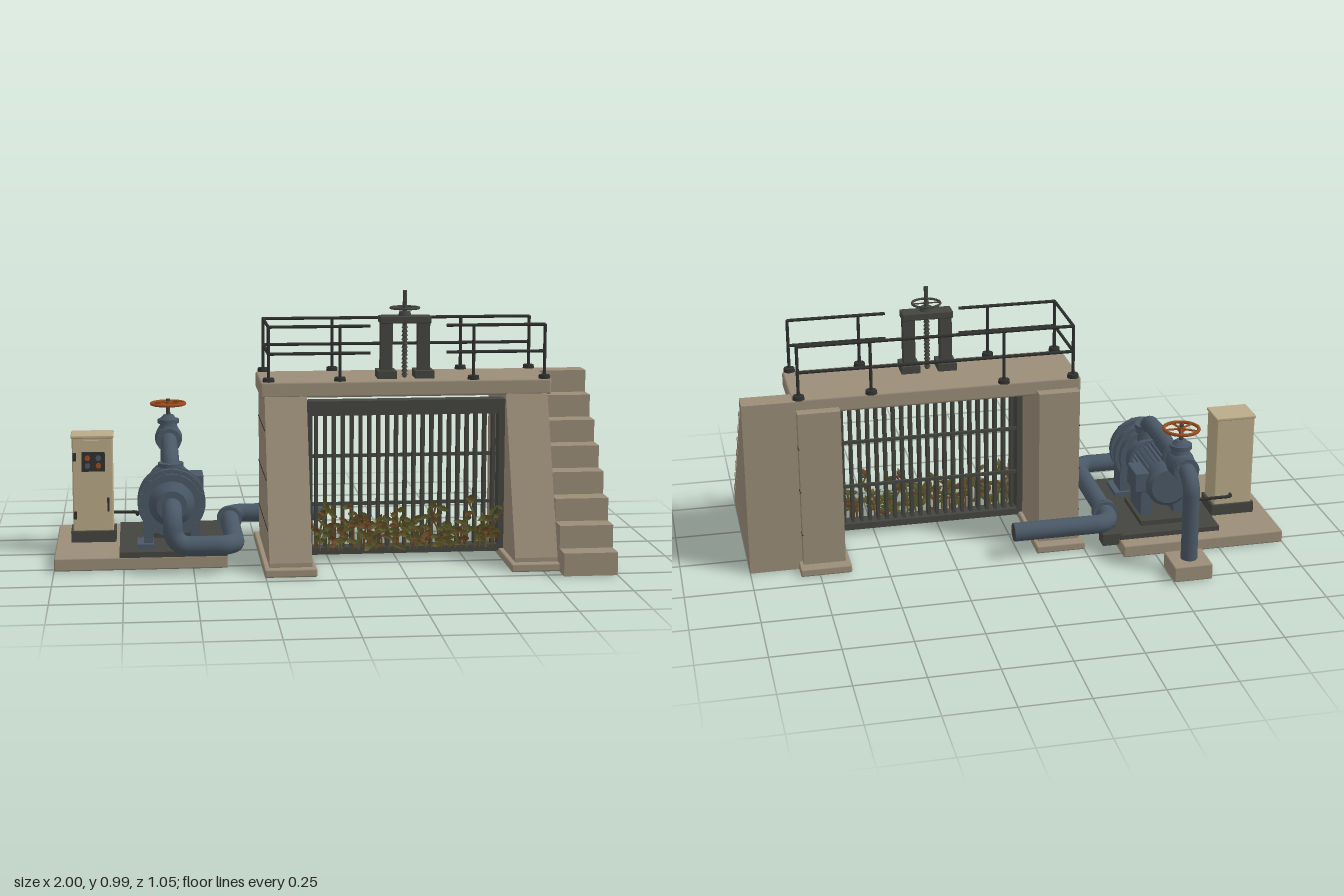
import * as THREE from 'three';
import { mergeGeometries } from 'three/addons/utils/BufferGeometryUtils.js';
import { RoundedBoxGeometry } from 'three/addons/geometries/RoundedBoxGeometry.js';

const mat = (name, color, side = THREE.FrontSide) => {
  const m = new THREE.MeshStandardMaterial({ color, side });
  m.name = name;
  return m;
};

export function createModel() {
  const root = new THREE.Group();
  const concrete = mat('concrete', 0x9a8d78), blue = mat('blue grey paint', 0x4a5866);
  const steel = mat('dark steel', 0x44453f), iron = mat('black iron', 0x2f312f);
  const cream = mat('cream paint', 0xb9aa88), rust = mat('orange wheel', 0x9a4c20);
  const olive = mat('olive weed', 0x5f5d2c, THREE.DoubleSide), brown = mat('brown weed', 0x6a4726, THREE.DoubleSide);

  const add = (name, geo, m, parent = root) => {
    const mesh = new THREE.Mesh(geo, m);
    mesh.name = name;
    parent.add(mesh);
    return mesh;
  };
  const box = (name, m, x0, x1, y0, y1, z0, z1, r = 0) => {
    const s = [x1 - x0, y1 - y0, z1 - z0];
    const g = r ? new RoundedBoxGeometry(...s, 2, r) : new THREE.BoxGeometry(...s);
    return add(name, g.translate((x0 + x1) / 2, (y0 + y1) / 2, (z0 + z1) / 2), m);
  };
  // Cylinder centred at (x, y, z); rTop faces the positive end of the axis
  const cyl = (name, m, axis, rTop, rBot, len, x, y, z, n = 28) => {
    const g = new THREE.CylinderGeometry(rTop, rBot, len, n);
    if (axis === 'z') g.rotateX(Math.PI / 2);
    if (axis === 'x') g.rotateZ(-Math.PI / 2);
    return add(name, g.translate(x, y, z), m);
  };
  // Extrude a (z, y) profile between two x positions
  const slab = (name, m, pts, x0, x1) => {
    const g = new THREE.ExtrudeGeometry(new THREE.Shape(pts.map(p => new THREE.Vector2(...p))), { depth: x1 - x0, bevelEnabled: false });
    return add(name, g.rotateY(-Math.PI / 2).translate(x1, 0, 0), m);
  };
  // Pipe through corner points with rounded elbows
  const pipe = (name, m, pts, radius, bend, seg = 160) => {
    const p = pts.map(v => new THREE.Vector3(...v)), path = new THREE.CurvePath();
    let from = p[0];
    for (let i = 1; i < p.length - 1; i++) {
      const a = p[i].clone().add(p[i - 1].clone().sub(p[i]).setLength(bend));
      const b = p[i].clone().add(p[i + 1].clone().sub(p[i]).setLength(bend));
      path.add(new THREE.LineCurve3(from, a));
      // cubic handles approximate a circular quarter turn
      path.add(new THREE.CubicBezierCurve3(a, a.clone().lerp(p[i], 0.552), b.clone().lerp(p[i], 0.552), b));
      from = b;
    }
    path.add(new THREE.LineCurve3(from, p[p.length - 1]));
    return add(name, new THREE.TubeGeometry(path, seg, radius, 18), m);
  };
  const handWheel = (name, m, r, t, x, y, z, spokes) => {
    const g = new THREE.Group();
    g.name = name;
    g.position.set(x, y, z);
    add('rim', new THREE.TorusGeometry(r, t, 8, 36).rotateX(Math.PI / 2), m, g);
    add('hub', new THREE.CylinderGeometry(t * 2.2, t * 2.2, t * 2.4, 16), m, g);
    for (let i = 0; i < spokes; i++) {
      add('spoke', new THREE.CylinderGeometry(t * 0.6, t * 0.6, r, 8).rotateZ(Math.PI / 2).translate(r / 2, 0, 0).rotateY(i * 2 * Math.PI / spokes), m, g);
    }
    root.add(g);
  };

  // Piers with sloping fronts, footings and pour joints
  const profile = [[-0.145, 0], [0.42, 0], [0.42, 0.045], [0.2, 0.61], [-0.115, 0.625], [-0.145, 0.625]];
  for (const [x0, x1, out] of [[-0.235, -0.082, -0.235], [0.65, 0.805, 0.805]]) {
    slab('pier', concrete, profile, x0, x1);
    box('pierFooting', concrete, x0 - 0.018, x1 + 0.016, 0, 0.03, -0.187, 0.45, 0.006);
    for (const y of [0.15, 0.32, 0.49]) {
      box('pourJoint', iron, out - 0.002, out + 0.002, y - 0.002, y + 0.002, -0.146, 0.4 - (y - 0.03) * 0.39);
    }
  }
  box('deck', concrete, -0.25, 0.82, 0.605, 0.665, -0.1, 0.2, 0.009);

  // Stairs: one stepped profile
  const steps = [[-0.115, 0]];
  for (let i = 0; i < 8; i++) {
    const z = 0.525 - i * 0.0795;
    steps.push([z, i * 0.0828], [z, (i + 1) * 0.0828]);
  }
  steps.push([-0.115, 0.6624]);
  slab('stairs', concrete, steps, 0.806, 1);

  // Trash screen
  box('screenHead', steel, -0.082, 0.65, 0.55, 0.59, 0.13, 0.19);
  box('screenLip', steel, -0.07, 0.64, 0.535, 0.552, 0.14, 0.18);
  box('screenSill', steel, -0.082, 0.65, 0.02, 0.045, 0.13, 0.19);
  for (const x of [-0.082, 0.628]) box('screenSide', steel, x, x + 0.022, 0.02, 0.59, 0.13, 0.19);
  for (let i = 0; i < 21; i++) {
    const x = -0.045 + i * 0.0328;
    box('screenBar', steel, x - 0.006, x + 0.006, 0.04, 0.54, 0.145, 0.18);
  }
  for (const y of [0.2, 0.38]) box('screenTie', steel, -0.07, 0.64, y - 0.006, y + 0.006, 0.135, 0.145);

  // Weeds caught on the screen
  let seed = 11;
  const rnd = (a, b) => {
    seed = (seed * 16807) % 2147483647;
    return a + (b - a) * seed / 2147483647;
  };
  const leaf = (len, w) => {
    const g = new THREE.PlaneGeometry(1, 1, 2, 4), p = g.attributes.position;
    for (let i = 0; i < p.count; i++) {
      const t = p.getY(i) + 0.5, s = p.getX(i);
      p.setXYZ(i, s * w * Math.sin(Math.PI * Math.min(1, t * 0.92 + 0.08)), t * len * (1 - 0.25 * t), t * t * len * 0.45 + Math.abs(s) * w * 0.4);
    }
    g.computeVertexNormals();
    return g;
  };
  const weeds = [[], []];
  for (let i = 0; i < 34; i++) {
    const x = -0.04 + i * 0.0197 + rnd(-0.012, 0.012), h = rnd(0.06, 0.19), lean = rnd(-0.05, 0.05);
    const curve = new THREE.QuadraticBezierCurve3(new THREE.Vector3(x, 0.035, 0.188),
      new THREE.Vector3(x - lean * 0.5, 0.035 + h * 0.6, 0.2), new THREE.Vector3(x + lean, 0.035 + h, 0.195));
    weeds[i % 3 ? 0 : 1].push(new THREE.TubeGeometry(curve, 8, 0.004, 5));
    for (let k = 0; k < 6; k++) {
      const at = curve.getPoint(rnd(0.1, 1));
      const g = leaf(rnd(0.03, 0.06), rnd(0.014, 0.024));
      g.rotateX(rnd(-0.5, 0.2)).rotateZ(rnd(-2.1, 2.1)).translate(at.x, at.y, at.z);
      weeds[rnd(0, 1) < 0.72 ? 0 : 1].push(g);
    }
  }
  add('weedsOlive', mergeGeometries(weeds[0]), olive);
  add('weedsBrown', mergeGeometries(weeds[1]), brown);

  // Deck railing, with a gap in front of the hoist and open at the stairs
  for (const z of [-0.095, 0.193]) {
    for (const x of [-0.22, 0.04, 0.53, 0.793]) {
      cyl('railPost', iron, 'y', 0.006, 0.006, 0.2, x, 0.765, z, 10);
      cyl('postFoot', iron, 'y', 0.02, 0.022, 0.014, x, 0.672, z, 16);
    }
    const runs = z < 0 ? [[-0.22, 0.793]] : [[-0.22, 0.15], [0.43, 0.793]];
    for (const y of [0.766, 0.864]) {
      for (const [a, b] of runs) cyl('rail', iron, 'x', 0.006, 0.006, b - a, (a + b) / 2, y, z, 10);
    }
  }
  for (const y of [0.766, 0.864]) cyl('endRail', iron, 'z', 0.006, 0.006, 0.288, -0.22, y, 0.049, 10);

  // Gate hoist
  for (const x of [0.218, 0.356]) {
    box('hoistFoot', steel, x - 0.035, x + 0.035, 0.665, 0.693, 0.067, 0.16);
    box('hoistPost', steel, x - 0.022, x + 0.022, 0.69, 0.87, 0.092, 0.135);
  }
  box('hoistBeam', steel, 0.192, 0.382, 0.866, 0.893, 0.08, 0.147, 0.004);
  cyl('hoistCollar', steel, 'y', 0.02, 0.025, 0.016, 0.287, 0.9, 0.113);
  cyl('hoistScrew', steel, 'y', 0.008, 0.008, 0.32, 0.287, 0.825, 0.113, 14);
  for (let i = 0; i < 13; i++) cyl('screwThread', steel, 'y', 0.009, 0.012, 0.007, 0.287, 0.676 + i * 0.0145, 0.113, 12);
  handWheel('hoistWheel', steel, 0.052, 0.0045, 0.287, 0.921, 0.113, 4);

  // Pump pad, baseplate and pipe block
  box('pumpPad', concrete, -1, -0.375, 0, 0.048, -0.29, 0.282, 0.006);
  box('baseplate', steel, -0.765, -0.377, 0.046, 0.066, -0.235, 0.285);
  box('pipeBlock', concrete, -0.645, -0.5, 0, 0.06, -0.525, -0.388, 0.005);

  // Motor with cooling fins
  const px = -0.575, py = 0.23;
  cyl('motorBody', blue, 'z', 0.07, 0.07, 0.27, px, py, -0.02);
  cyl('fanCowl', blue, 'z', 0.083, 0.083, 0.05, px, py, -0.155);
  cyl('fanCowlEnd', blue, 'z', 0.083, 0.068, 0.014, px, py, -0.187);
  cyl('motorFlange', blue, 'z', 0.085, 0.085, 0.03, px, py, 0.07);
  for (let i = 0; i < 28; i++) {
    const g = new THREE.BoxGeometry(0.014, 0.005, 0.18).translate(0.075, 0, 0).rotateZ(i * Math.PI / 14).translate(px, py, -0.04);
    add('motorFin', g, blue);
  }
  box('terminalBox', blue, px + 0.07, px + 0.125, 0.2, 0.28, -0.16, -0.05, 0.005);
  for (const s of [-1, 1]) {
    box('motorFoot', blue, px + s * 0.065 - 0.022, px + s * 0.065 + 0.022, 0.066, 0.19, -0.12, 0.02);
    box('pumpLeg', blue, px + s * 0.085 - 0.017, px + s * 0.085 + 0.017, 0.066, 0.2, 0.12, 0.21);
    box('pumpFoot', blue, px + s * 0.095 - 0.03, px + s * 0.095 + 0.03, 0.066, 0.082, 0.11, 0.23);
  }
  box('motorPlinth', steel, px - 0.1, px + 0.1, 0.064, 0.085, -0.17, 0.06);

  // Pump casing with bolt ring
  cyl('pumpCasing', blue, 'z', 0.108, 0.108, 0.13, px, py, 0.165, 40);
  cyl('rearCasingFlange', blue, 'z', 0.123, 0.123, 0.026, px, py, 0.14, 40);
  cyl('frontCasingFlange', blue, 'z', 0.123, 0.123, 0.026, px, py, 0.2, 40);
  cyl('backCover', blue, 'z', 0.1, 0.075, 0.03, px, py, 0.1);
  cyl('frontCover', blue, 'z', 0.05, 0.085, 0.03, px, py, 0.243);
  cyl('inletFlange', blue, 'z', 0.055, 0.055, 0.018, px, py, 0.265);
  for (let i = 0; i < 12; i++) {
    const a = (i + 0.5) * Math.PI / 6;
    cyl('casingBolt', blue, 'z', 0.008, 0.008, 0.014, px + 0.112 * Math.cos(a), py + 0.112 * Math.sin(a), 0.218, 6);
  }

  // Lower pipe round to the intake side
  pipe('lowerPipe', blue, [[px, 0.225, 0.24], [px, 0.225, 0.362], [px, 0.103, 0.362], [-0.352, 0.103, 0.362], [-0.352, 0.103, -0.193], [0.025, 0.103, -0.193]], 0.035, 0.06, 220);
  cyl('lowerPipeEnd', steel, 'x', 0.034, 0.034, 0.004, 0.024, 0.103, -0.193);
  for (const z of [-0.1, -0.082]) cyl('lowerPipeFlange', blue, 'z', 0.047, 0.047, 0.012, -0.352, 0.103, z);
  box('pipeSaddle', steel, -0.39, -0.312, 0.025, 0.07, -0.225, -0.165);

  // Upper pipe, over the motor and down to the block
  const vy = 0.381;
  pipe('upperPipe', blue, [[px, 0.26, 0.12], [px, vy, 0.12], [px, vy, -0.455], [px, 0.05, -0.455]], 0.031, 0.065);
  cyl('outletNeck', blue, 'y', 0.036, 0.05, 0.06, px, 0.33, 0.12);
  cyl('outletFlange', blue, 'y', 0.047, 0.047, 0.014, px, 0.355, 0.12);

  // Gate valve
  cyl('valveBody', blue, 'z', 0.043, 0.043, 0.12, px, vy, -0.317);
  add('valveBelly', new THREE.SphereGeometry(0.053, 28, 18).translate(px, vy, -0.312), blue);
  for (const z of [-0.244, -0.26, -0.373, -0.389]) cyl('valveFlange', blue, 'z', 0.047, 0.047, 0.012, px, vy, z);
  for (let i = 0; i < 8; i++) {
    const a = (i + 0.5) * Math.PI / 4;
    for (const z of [-0.252, -0.381]) cyl('valveBolt', blue, 'z', 0.006, 0.006, 0.042, px + 0.039 * Math.cos(a), vy + 0.039 * Math.sin(a), z, 6);
  }
  cyl('bonnetNeck', blue, 'y', 0.03, 0.04, 0.04, px, 0.425, -0.312);
  cyl('bonnetFlange', blue, 'y', 0.041, 0.041, 0.016, px, 0.447, -0.312);
  cyl('bonnetCap', blue, 'y', 0.018, 0.034, 0.018, px, 0.463, -0.312);
  cyl('valveStem', steel, 'y', 0.008, 0.008, 0.07, px, 0.498, -0.312, 14);
  handWheel('valveWheel', rust, 0.064, 0.0065, px, 0.515, -0.312, 5);

  // Control cabinet
  box('cabinetPlinth', steel, -0.945, -0.778, 0.046, 0.09, -0.105, 0.025);
  box('cabinet', cream, -0.937, -0.787, 0.088, 0.445, -0.098, 0.016, 0.005);
  box('cabinetRoof', cream, -0.941, -0.783, 0.438, 0.45, -0.102, 0.022, 0.004);
  box('cabinetDoor', cream, -0.927, -0.797, 0.105, 0.43, 0.014, 0.021);
  box('controlPanel', iron, -0.902, -0.816, 0.315, 0.388, 0.02, 0.025);
  for (const [x, y, m] of [[-0.88, 0.366, rust], [-0.84, 0.366, blue], [-0.88, 0.337, blue], [-0.84, 0.337, rust]]) {
    cyl('controlButton', m, 'z', 0.01, 0.01, 0.008, x, y, 0.028, 14);
  }
  box('doorHandle', iron, -0.81, -0.802, 0.165, 0.215, 0.02, 0.03);
  for (const y of [0.15, 0.37]) box('doorHinge', iron, -0.934, -0.922, y - 0.015, y + 0.015, 0.015, 0.025);
  pipe('conduit', iron, [[-0.85, 0.13, -0.09], [-0.85, 0.13, -0.12], [-0.7, 0.13, -0.12], [-0.7, 0.13, -0.06], [-0.64, 0.2, -0.06]], 0.006, 0.014, 60);

  return root;
}
